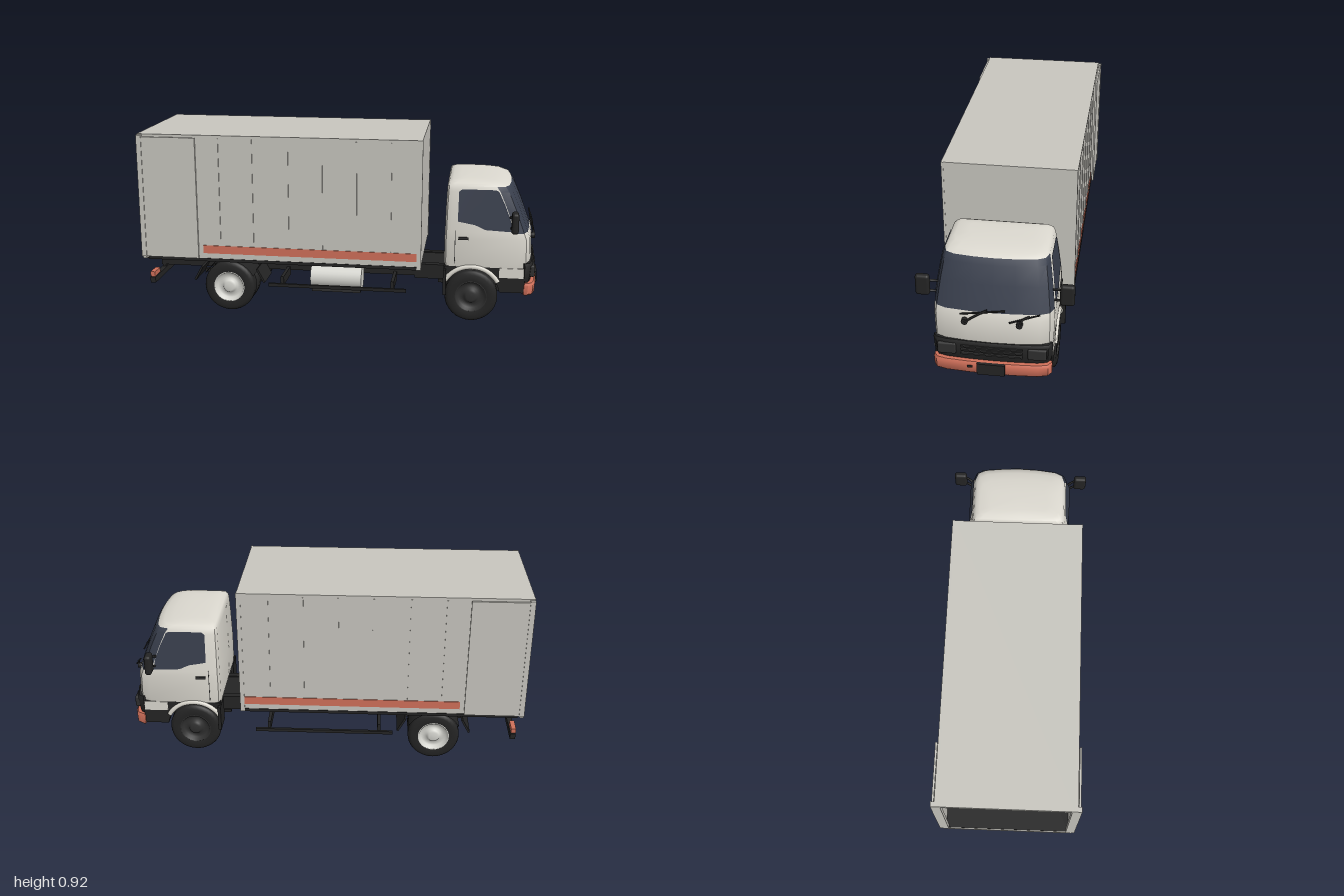
import * as THREE from 'three';
import { toCreasedNormals } from 'three/addons/utils/BufferGeometryUtils.js';
import { RoundedBoxGeometry } from 'three/addons/geometries/RoundedBoxGeometry.js';

const mat = (name, color, side = THREE.FrontSide) => {
  const m = new THREE.MeshStandardMaterial({ color, side });
  m.name = name;
  return m;
};

export function createModel() {
  const truck = new THREE.Group();
  truck.name = 'boxTruck';
  const panel = mat('cargoPanelGrey', 0xc8c6bf);
  const paint = mat('cabPaint', 0xdcd9d0);
  const orange = mat('orangeTrim', 0xd0705a);
  const glass = mat('tintedGlass', 0x383e4c, THREE.DoubleSide);
  const black = mat('chassisBlack', 0x242424, THREE.DoubleSide);
  const dark = mat('darkPlastic', 0x303030);
  const silver = mat('silverMetal', 0xd6d6d0);

  const add = (name, geo, m, parent = truck) => {
    const mesh = new THREE.Mesh(geo, m);
    mesh.name = name;
    parent.add(mesh);
    return mesh;
  };
  // Box given by its minimum and maximum on each axis
  const box = (name, m, x0, x1, y0, y1, z0, z1) => add(name,
    new THREE.BoxGeometry(x1 - x0, y1 - y0, z1 - z0)
      .translate((x0 + x1) / 2, (y0 + y1) / 2, (z0 + z1) / 2), m);
  // Same box on both sides of the truck
  const pair = (name, m, x0, x1, y0, y1, z0, z1) => {
    box(name + 'Left', m, x0, x1, y0, y1, z0, z1);
    box(name + 'Right', m, x0, x1, y0, y1, -z1, -z0);
  };
  const rod = (name, m, r, pts) => add(name, new THREE.TubeGeometry(
    new THREE.CatmullRomCurve3(pts.map(p => new THREE.Vector3(...p))), 10, r, 6), m);

  // Loft of bowed plan outlines; rows are [y, rear x, front x, half width]
  const loft = (rows, bow, rear, isGlass = () => false) => {
    const pos = [], main = [], second = [];
    const ring = ([, xb, xf, w]) => {
      const half = [[xf, 0], [xf - .004 * bow, .4], [xf - .015 * bow, .78], [xf - .034 * bow, .94],
        [xf - .075 * bow, 1], [xb + rear, 1], [xb + rear * .3, .97], [xb, .88], [xb, 0]];
      return [...half, ...half.slice(1, -1).reverse().map(([x, z]) => [x, -z])].map(([x, z]) => [x, z * w]);
    };
    const n = 16, last = rows.length - 1;
    rows.forEach(r => ring(r).forEach(([x, z]) => pos.push(x, r[0], z)));
    for (let i = 0; i < last; i++) for (let j = 0; j < n; j++) {
      const a = i * n + j, b = i * n + (j + 1) % n, c = b + n, d = a + n;
      (isGlass(i, j) ? second : main).push(b, a, d, b, d, c);
    }
    for (const i of [0, last]) {
      const [y, xb, xf] = rows[i], centre = pos.length / 3;
      pos.push((xb + xf) / 2, y, 0);
      for (let j = 0; j < n; j++) {
        const a = i * n + j, b = i * n + (j + 1) % n;
        main.push(centre, ...(i ? [b, a] : [a, b]));
      }
    }
    const g = new THREE.BufferGeometry();
    g.setAttribute('position', new THREE.Float32BufferAttribute(pos, 3));
    g.setIndex([...main, ...second]);
    g.addGroup(0, main.length, 0);
    if (second.length) g.addGroup(main.length, second.length, 1);
    return toCreasedNormals(g, .7);
  };

  // Cargo box, open at the rear
  pair('cargoWall', panel, -1, .42, .28, .92, .308, .32);
  box('cargoRoof', panel, -1, .42, .906, .92, -.308, .308);
  box('cargoFrontWall', panel, .406, .42, .28, .906, -.308, .308);
  box('cargoFloor', black, -.995, .405, .272, .292, -.308, .308);
  pair('cargoSill', black, -.97, .405, .272, .288, .308, .3225);
  pair('rearPost', panel, -1, -.98, .275, .92, .296, .324);
  box('rearHeader', panel, -1, -.98, .893, .92, -.3, .3);
  box('rearSill', panel, -1, -.985, .27, .288, -.3, .3);
  pair('frontPost', panel, .4, .422, .272, .92, .312, .323);
  pair('topRail', panel, -.98, .42, .908, .92, .315, .323);
  for (const x of [-.59, -.42, -.24, -.07, .1, .27])
    pair('wallRib', panel, x - .003, x + .003, .36, .905, .32, .325);
  pair('sideStripe', orange, -.68, .4, .315, .356, .32, .3235);
  // Rear doors folded flat against the sides
  pair('foldedDoor', panel, -.995, -.702, .29, .907, .326, .336);
  pair('doorHinge', panel, -1, -.975, .29, .915, .322, .34);

  // Chassis
  pair('frameRail', black, -.97, .9, .183, .245, .095, .13);
  for (const x of [-.95, -.7, -.4, -.1, .2, .5, .85])
    box('crossMember', black, x - .02, x + .02, .19, .24, -.1, .1);
  for (const x of [-.85, -.3, 0, .3])
    pair('bodyMount', black, x - .012, x + .012, .24, .275, .09, .13);
  box('gearboxCover', black, .38, .9, .17, .24, -.13, .13);
  box('engineSump', black, .58, .85, .1, .18, -.07, .07);
  const shaft = add('driveShaft', new THREE.CylinderGeometry(.016, .016, .98, 10), black);
  shaft.rotation.z = Math.PI / 2;
  shaft.position.set(-.07, .16, 0);
  for (const [x, r] of [[-.56, .028], [.67, .018]]) {
    const axle = add('axle', new THREE.CylinderGeometry(r, r, .42, 10), black);
    axle.rotation.x = Math.PI / 2;
    axle.position.set(x, .131, 0);
    pair('leafSpring', black, x - .17, x + .17, .155, .172, .11, .14);
  }
  add('differential', new THREE.SphereGeometry(.06, 14, 10), black).position.set(-.56, .131, 0);
  box('frontTieBar', black, .71, .735, .1, .12, -.2, .2);
  pair('sideGuard', black, -.35, .35, .149, .165, .297, .311);
  for (const x of [-.28, .28]) pair('guardBracket', black, x - .008, x + .008, .155, .2, .12, .3);

  // Fuel tank
  const tank = add('fuelTank', new THREE.CylinderGeometry(.061, .061, .26, 24), silver);
  tank.rotation.z = Math.PI / 2;
  tank.position.set(-.01, .186, .215);
  box('tankCradle', dark, -.135, .115, .118, .135, .17, .26);

  // Rear underrun bar and lamps
  box('underrunBar', black, -.972, -.945, .14, .17, -.31, .31);
  pair('barHanger', black, -.968, -.95, .16, .22, .1, .125);
  pair('tailLamp', orange, -.974, -.95, .17, .195, .22, .3);

  // Wheels
  const wheel = (name, x, side, z, halfW, rim) => {
    const w = halfW, g = new THREE.Group();
    g.name = name;
    const profile = pts => new THREE.LatheGeometry(pts.map(p => new THREE.Vector2(...p)), 32);
    add('tyre', profile([[0, -w * .8], [.07, -w * .9], [.08, -w], [.112, -w], [.126, -w * .78], [.131, -w * .5],
      [.131, w * .5], [.126, w * .78], [.112, w], [.08, w], [.074, w * .85]]), black, g);
    add('rim', profile([[.08, w * .98], [.074, w * 1.02], [.064, w * .5], [.04, w * .5],
      [.032, w * .85], [.022, w * 1.0], [0, w * 1.0]]), rim, g);
    g.rotation.x = side * Math.PI / 2;
    g.position.set(x, .131, side * z);
    truck.add(g);
  };
  for (const s of [1, -1]) {
    wheel('frontWheel', .67, s, .23, .043, dark);
    wheel('rearOuterWheel', -.56, s, .25, .041, silver);
    wheel('rearInnerWheel', -.56, s, .155, .038, dark);
    // Rear mudguards
    const guard = add('rearMudguard', new THREE.CylinderGeometry(.143, .143, .17, 20, 1, true, Math.PI * .65, Math.PI * .7), black);
    guard.rotation.set(Math.PI / 2, 0, 0);
    guard.position.set(-.56, .127, s * .21);
    for (const [x, tilt] of [[-.72, -.5], [-.395, .5]]) {
      const flap = add('mudFlap', new THREE.BoxGeometry(.01, .08, .16), black);
      flap.position.set(x, .195, s * .21);
      flap.rotation.z = tilt;
    }
  }

  // Cab shell with wraparound windscreen
  const cabRows = [[.27, .535, .955, .266], [.31, .532, .968, .271], [.43, .532, .964, .273], [.462, .533, .952, .271],
    [.58, .535, .908, .256], [.66, .538, .873, .243], [.686, .54, .855, .236],
    [.698, .547, .825, .224], [.706, .565, .78, .205], [.71, .6, .72, .15]];
  const cab = add('cabShell', loft(cabRows, 1, .03,
    (i, j) => i >= 3 && i <= 5 && (j < 4 || j > 11)), [paint, glass]);
  cab.name = 'cabShell';

  // Side windows laid on the sloping cab sides
  const halfWidth = y => {
    const i = Math.max(1, cabRows.findIndex(r => r[0] >= y));
    const [a, b] = [cabRows[i - 1], cabRows[i]];
    return a[3] + (b[3] - a[3]) * (y - a[0]) / (b[0] - a[0]);
  };
  const outline = [[.595, .515], [.68, .5], [.73, .478], [.862, .472], [.85, .53], [.822, .6],
    [.79, .665], [.775, .672], [.612, .672], [.597, .66]];
  for (const s of [1, -1]) {
    const g = new THREE.ShapeGeometry(new THREE.Shape(outline.map(p => new THREE.Vector2(...p))));
    const p = g.attributes.position;
    for (let i = 0; i < p.count; i++) p.setZ(i, s * (halfWidth(p.getY(i)) + .005));
    if (s < 0) g.setIndex([...g.index.array].reverse());
    g.computeVertexNormals();
    add('sideWindow', g, glass);
  }
  pair('doorHandle', dark, .6, .65, .425, .438, .27, .28);
  pair('doorSeam', dark, .583, .586, .3, .47, .268, .2735);

  // Wheel arches, lower skirts and front mudguards
  const arch = new THREE.Shape();
  arch.moveTo(.535, .165);
  arch.lineTo(.535, .285);
  arch.lineTo(.93, .285);
  arch.lineTo(.93, .16);
  arch.lineTo(.808, .16);
  arch.absarc(.67, .135, .14, .18, Math.PI - .18, false);
  arch.closePath();
  const archGeo = new THREE.ExtrudeGeometry(arch, { depth: .08, bevelEnabled: false, curveSegments: 16 });
  for (const s of [1, -1]) {
    add('wheelArch', archGeo, black).position.z = s > 0 ? .188 : -.268;
    const lip = add('archLip', new THREE.TorusGeometry(.15, .012, 8, 20, Math.PI * .66), paint);
    lip.position.set(.67, .135, s * .268);
    lip.rotation.z = Math.PI * .17;
  }
  pair('lowerSkirt', paint, .805, .925, .236, .285, .25, .272);
  pair('frontMudFlap', black, .53, .545, .14, .27, .18, .292);

  // Grille, headlamps and bumper
  add('grillePanel', loft([[.205, .92, .965, .262], [.228, .92, .972, .268], [.3, .92, .979, .272], [.312, .92, .972, .27]], .6, .008), black);
  for (const y of [.25, .27, .29]) box('grilleBar', dark, .97, .983, y - .004, y + .004, -.14, .14);
  for (const s of [1, -1])
    add('headlamp', new RoundedBoxGeometry(.03, .058, .085, 2, .008), dark).position.set(.964, .268, s * .205);
  add('frontBumper', loft([[.148, .925, .984, .264], [.156, .92, .99, .27], [.2, .92, .993, .271], [.211, .925, .986, .268]], .6, .008), orange);
  box('numberPlate', black, .985, 1, .153, .211, -.062, .065);
  box('towCover', black, .98, .995, .184, .194, .085, .11);

  // Mirrors
  for (const s of [1, -1]) {
    add('mirror', new RoundedBoxGeometry(.034, .104, .066, 3, .014), black).position.set(.87, .533, s * .326);
    for (const y of [.5, .555])
      rod('mirrorArm', black, .006, [[.84, y - .02, s * .25], [.86, y - .005, s * .28], [.87, y, s * .31]]);
  }

  // Wipers
  const wipers = [
    [[.12, .42], [.07, .452], [.02, .478], [.14, .455], [-.06, .48]],
    [[-.125, .42], [-.14, .45], [-.17, .465], [-.08, .432], [-.215, .475]]];
  const at = ([z, y]) => [.975 - Math.max(0, y - .43) * .38, y, z];
  for (const [pivot, bend, tip, b0, b1] of wipers) {
    const hub = add('wiperPivot', new THREE.CylinderGeometry(.015, .015, .02, 14), black);
    hub.rotation.z = Math.PI / 2;
    hub.position.set(.967, pivot[1], pivot[0]);
    rod('wiperArm', black, .005, [pivot, bend, tip].map(at));
    rod('wiperBlade', black, .004, [b0, b1].map(at));
  }
  return truck;
}
